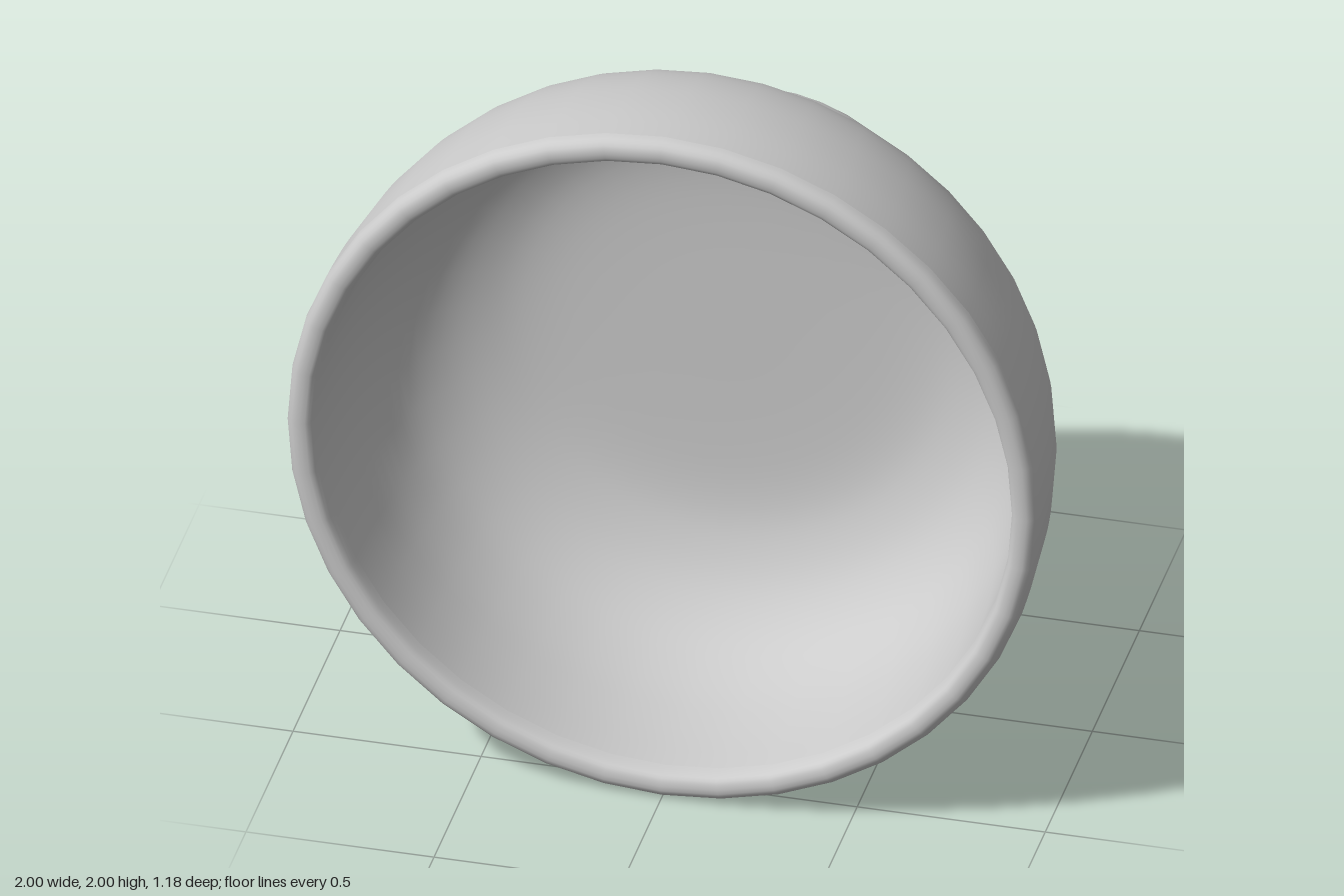
import * as THREE from 'three';

const SIDES = 40;

// Smooth curve through [radius, z] points
function smooth(points, divisions) {
  return new THREE.SplineCurve(points.map(([r, z]) => new THREE.Vector2(r, z))).getPoints(divisions);
}

// Revolves a back-to-front profile around the horizontal z axis at the given height
function turned(name, profile, material, height = 1) {
  const geometry = new THREE.LatheGeometry(profile, SIDES);
  geometry.rotateX(Math.PI / 2);
  geometry.translate(0, height, 0);
  const mesh = new THREE.Mesh(geometry, material);
  mesh.name = name;
  return mesh;
}

export function createModel() {
  const group = new THREE.Group();
  group.name = 'cup';
  const material = new THREE.MeshStandardMaterial({ color: 0xcccccc, side: THREE.DoubleSide });

  // Outer wall of the bowl, from the neck to the rim
  const outer = smooth([
    [0.36, -0.188], [0.46, -0.18], [0.57, -0.16], [0.69, -0.118], [0.8, -0.046],
    [0.9, 0.07], [0.957, 0.21], [0.988, 0.38], [1, 0.55],
  ], 32);
  group.add(turned('bowlOuter', outer, material));

  // Narrow rounded lip
  const rim = smooth([
    [1, 0.55], [0.995, 0.574], [0.975, 0.59], [0.945, 0.588], [0.93, 0.572], [0.924, 0.54],
  ], 12);
  group.add(turned('rim', rim, material));

  // Hollow inside of the bowl, from the rim to the flat floor
  const inner = smooth([
    [0.924, 0.54], [0.915, 0.38], [0.89, 0.22], [0.835, 0.08], [0.745, -0.02],
    [0.63, -0.083], [0.5, -0.115], [0.3, -0.125], [0, -0.126],
  ], 32);
  group.add(turned('bowlInner', inner, material));

  // Grooved knob behind the bowl, with a slightly softened flat end
  const knob = smooth([
    [0, -0.594], [0.2, -0.593], [0.37, -0.591], [0.43, -0.58], [0.468, -0.55], [0.488, -0.49],
    [0.49, -0.44], [0.453, -0.37], [0.478, -0.31], [0.491, -0.25], [0.475, -0.21], [0.44, -0.17],
  ], 44);
  group.add(turned('knob', knob, material, 1.005));

  return group;
}
